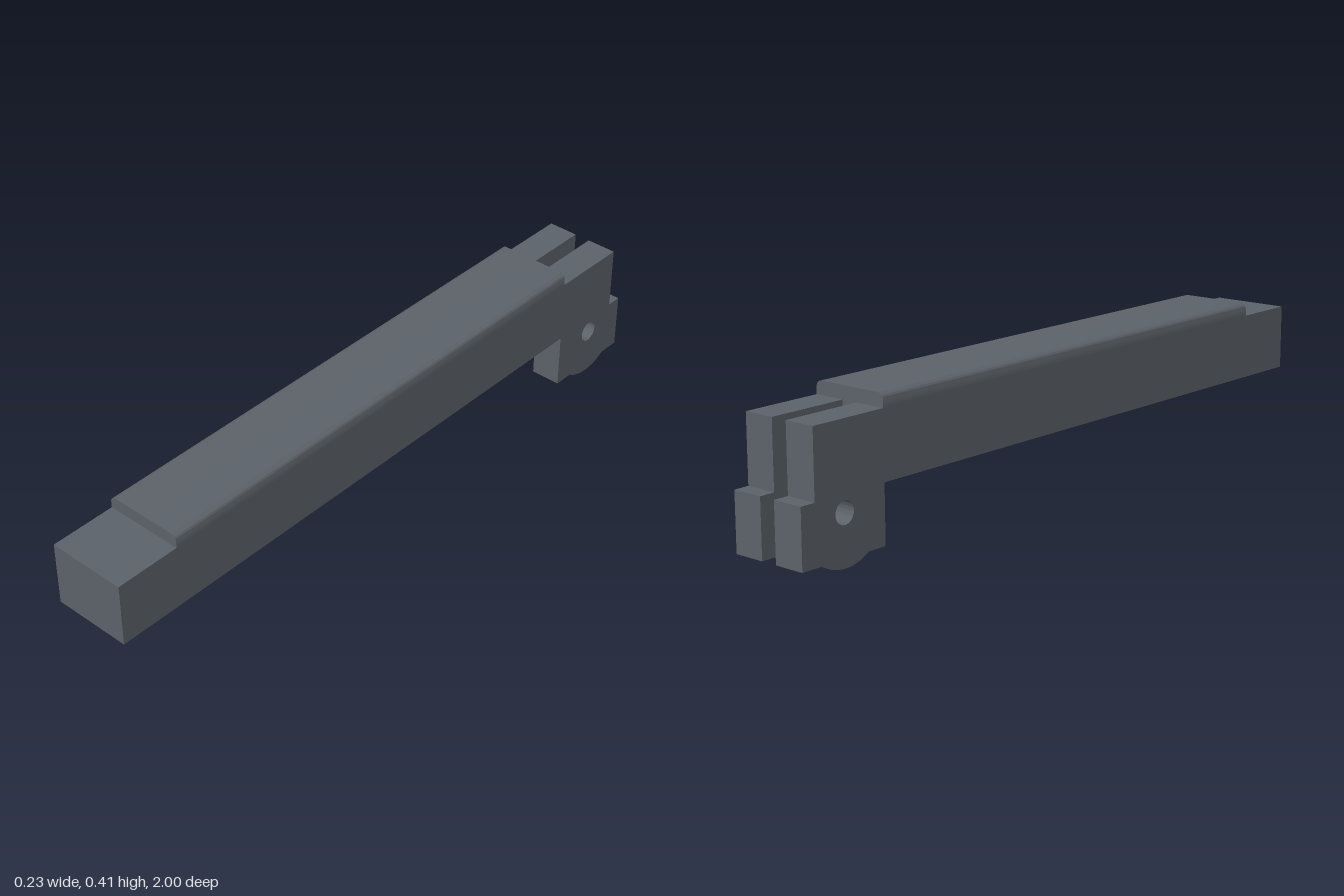
import * as THREE from 'three';
import { toCreasedNormals } from 'three/addons/utils/BufferGeometryUtils.js';

const W = 0.115;       // half width
const WALL = 0.012;    // channel wall thickness
const BASE = 0.187, DECK = 0.373, TOP = 0.41;
const FRONT = 1, CAP_FRONT = 0.81, REAR = -0.72, CAVITY_REAR = -0.61;

export function createModel() {
  const group = new THREE.Group();
  const metal = new THREE.MeshStandardMaterial({ color: 0x5c6269 });
  metal.name = 'dark grey metal';

  const add = (name, geometry) => {
    const mesh = new THREE.Mesh(geometry, metal);
    mesh.name = name;
    group.add(mesh);
    return mesh;
  };
  const extrude = (shape, depth) => toCreasedNormals(
    new THREE.ExtrudeGeometry(shape, { depth, bevelEnabled: false, curveSegments: 20 }), 0.6);
  const box = (name, y0, y1, z0, z1) => {
    const g = new THREE.BoxGeometry(2 * W, y1 - y0, z1 - z0);
    add(name, g.translate(0, (y0 + y1) / 2, (z0 + z1) / 2));
  };

  // Channel body, open underneath
  const inner = W - WALL, ceiling = DECK - WALL;
  const channel = new THREE.Shape([
    [-W, BASE], [-inner, BASE], [-inner, ceiling], [inner, ceiling],
    [inner, BASE], [W, BASE], [W, DECK], [-W, DECK],
  ].map(([x, y]) => new THREE.Vector2(x, y)));
  add('channelBody', extrude(channel, FRONT - WALL - CAVITY_REAR).translate(0, 0, CAVITY_REAR));
  box('frontWall', BASE, DECK, FRONT - WALL, FRONT);
  box('rearBlock', BASE, DECK, REAR, CAVITY_REAR);

  // Raised top with rounded long edges
  const r = 0.018;
  const cap = new THREE.Shape();
  cap.moveTo(-W, DECK);
  cap.lineTo(W, DECK);
  cap.lineTo(W, TOP - r);
  cap.absarc(W - r, TOP - r, r, 0, Math.PI / 2);
  cap.lineTo(-W + r, TOP);
  cap.absarc(-W + r, TOP - r, r, Math.PI / 2, Math.PI);
  cap.closePath();
  add('raisedTop', extrude(cap, CAP_FRONT - REAR).translate(0, 0, REAR));

  // Rear fork arms: side profile with a round boss and a pin hole
  const pz = -0.857, py = 0.141, bossR = 0.14, foot = 0.025;
  const half = Math.sqrt(bossR ** 2 - (py - foot) ** 2);
  const a = Math.atan2(foot - py, half);
  const arm = new THREE.Shape();
  arm.moveTo(REAR, DECK);
  arm.lineTo(-0.955, DECK);
  arm.lineTo(-0.955, BASE);
  arm.lineTo(-1, BASE);
  arm.lineTo(-1, foot);
  arm.lineTo(pz - half, foot);
  arm.absarc(pz, py, bossR, -Math.PI - a, a, false);
  arm.lineTo(REAR, foot);
  arm.closePath();
  arm.holes.push(new THREE.Path().absarc(pz, py, 0.031, 0, Math.PI * 2, true));

  const slot = 0.024;
  for (const [name, x] of [['leftForkArm', W], ['rightForkArm', -slot]]) {
    add(name, extrude(arm, W - slot).rotateY(-Math.PI / 2).translate(x, 0, 0));
  }
  return group;
}
